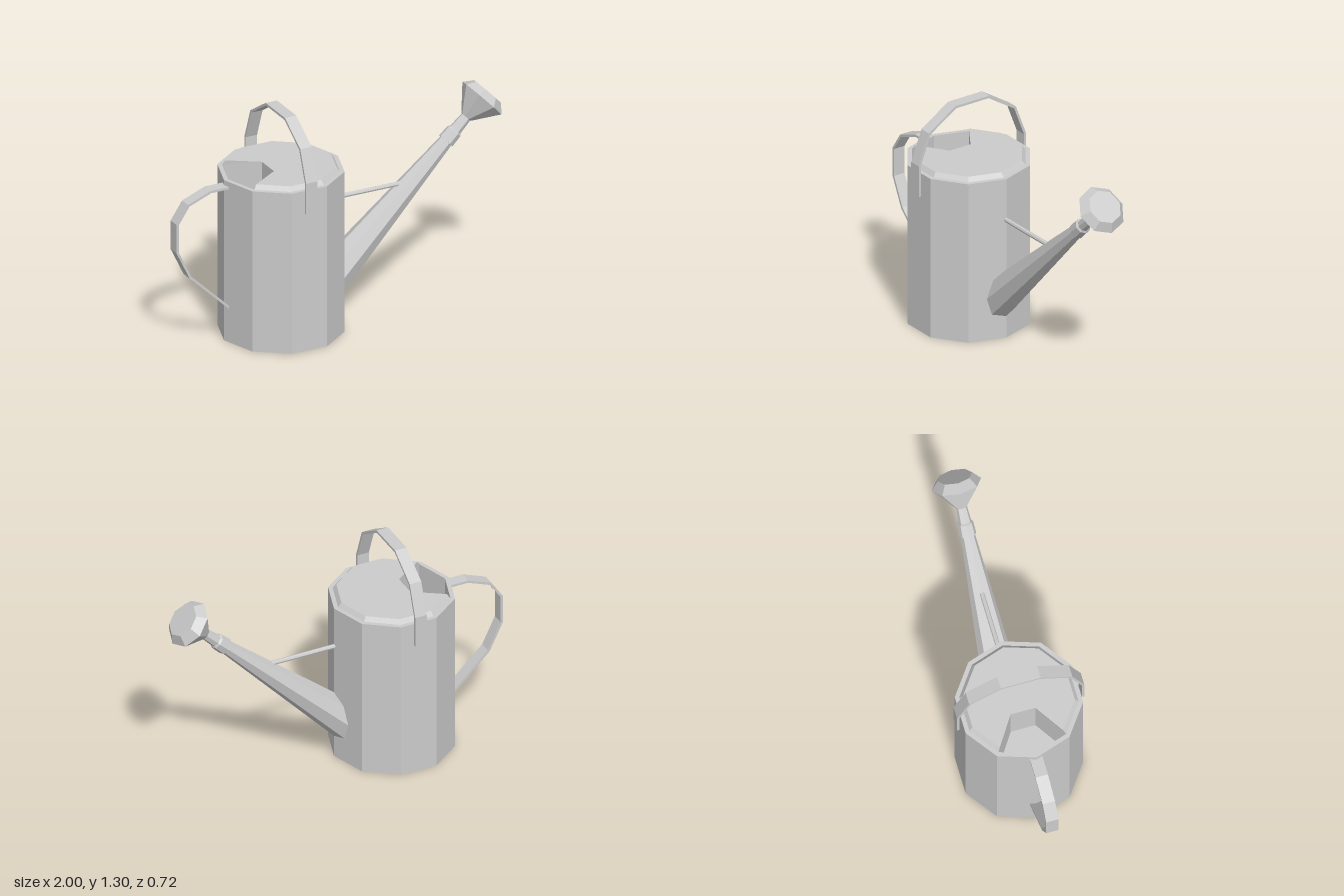
import * as THREE from 'three';

const CX = -0.34;      // centre of the can
const TOP = 0.955;     // height of the can wall
const POCKET = 0.25;   // depth of the filling opening

const material = new THREE.MeshStandardMaterial({ color: 0xcccccc, flatShading: true });

function add(parent, name, geometry) {
  const mesh = new THREE.Mesh(geometry, material);
  mesh.name = name;
  parent.add(mesh);
  return mesh;
}

// Points of the ten-sided outline, from corner a to corner b
function corners(r, a, b) {
  const pts = [];
  for (let i = a; i <= b; i++) {
    const t = (i * Math.PI) / 5;
    pts.push(new THREE.Vector2(CX + r * Math.cos(t), r * Math.sin(t)));
  }
  return pts;
}

// Horizontal face at height y, facing up
function plate(pts, y, hole) {
  const shape = new THREE.Shape(pts);
  if (hole) shape.holes.push(new THREE.Path(hole));
  return new THREE.ShapeGeometry(shape).rotateX(-Math.PI / 2).translate(0, y, 0);
}

// Closed wall between a lower and an upper outline
function wall(low, y0, high, y1) {
  const v = [];
  for (let i = 0; i < low.length; i++) {
    const j = (i + 1) % low.length;
    const a = [low[i].x, y0, -low[i].y], b = [low[j].x, y0, -low[j].y];
    const c = [high[j].x, y1, -high[j].y], d = [high[i].x, y1, -high[i].y];
    v.push(...a, ...b, ...c, ...a, ...c, ...d);
  }
  const g = new THREE.BufferGeometry();
  g.setAttribute('position', new THREE.Float32BufferAttribute(v, 3));
  g.computeVertexNormals();
  return g;
}

// Flat strip bent along an outer path, thickened to the right of travel
function strip(path, thickness, width) {
  const pts = path.map(([x, y]) => new THREE.Vector2(x, y));
  const side = (a, b) => {
    const d = b.clone().sub(a).normalize();
    return new THREE.Vector2(d.y, -d.x);
  };
  const inner = pts.map((p, i) => {
    const n0 = i > 0 ? side(pts[i - 1], p) : side(p, pts[1]);
    const n1 = i < pts.length - 1 ? side(p, pts[i + 1]) : n0;
    const m = n0.clone().add(n1).normalize();
    return p.clone().addScaledVector(m, thickness / m.dot(n0));
  });
  const shape = new THREE.Shape([...pts, ...inner.reverse()]);
  return new THREE.ExtrudeGeometry(shape, { depth: width, bevelEnabled: false })
    .translate(0, 0, -width / 2);
}

export function createModel() {
  const model = new THREE.Group();
  model.name = 'wateringCan';

  // Can: wall, base and rim with the filling opening sunk into it
  const can = new THREE.Group();
  can.name = 'can';
  model.add(can);
  const outline = corners(0.35, 0, 9);
  const notch = [new THREE.Vector2(-0.42, 0.07), new THREE.Vector2(-0.42, -0.07)];
  const opening = [...corners(0.325, 4, 6), notch[1], notch[0]];
  const inward = [...opening].reverse();
  add(can, 'canWall', wall(outline, 0, outline, TOP));
  add(can, 'canBase', plate(outline, 0).rotateX(Math.PI));
  add(can, 'rim', plate(outline, TOP, opening));
  add(can, 'openingWall', wall(inward, TOP - POCKET, inward, TOP));
  add(can, 'openingFloor', plate(opening, TOP - POCKET));

  // Raised lid with sloped edge, cut away around the opening
  const lidLow = [...corners(0.325, -4, 4), ...notch];
  const lidHigh = [...corners(0.305, -4, 4), ...notch];
  add(can, 'lidEdge', wall(lidLow, TOP, lidHigh, 0.98));
  add(can, 'lidTop', plate(lidHigh, 0.98));

  // Carrying handle arching over the lid
  const half = [[-0.36, 0.825], [-0.36, 1.01], [-0.292, 1.19], [-0.113, 1.305]];
  const arch = [...half, ...half.map(([x, y]) => [-x, y]).reverse()];
  const carry = add(model, 'carryingHandle', strip(arch, 0.014, 0.07));
  carry.rotation.y = Math.PI / 2;
  carry.position.x = CX;

  // Pouring handle behind the can
  add(model, 'pouringHandle', strip([
    [-0.68, 0.2], [-0.92, 0.43], [-1, 0.595], [-1, 0.765],
    [-0.93, 0.87], [-0.79, 0.925], [-0.675, 0.925],
  ], 0.014, 0.07));

  // Spout, collar and rose turned around one slanted axis
  const spout = new THREE.Group();
  spout.name = 'spoutAssembly';
  spout.position.set(-0.07, 0.205, 0);
  spout.rotation.z = Math.atan2(0.94, 1) - Math.PI / 2;
  model.add(spout);
  const turned = (name, profile) => add(spout, name,
    new THREE.LatheGeometry(profile.map(([r, y]) => new THREE.Vector2(r, y)), 8));
  turned('spout', [[0, 0], [0.11, 0], [0.038, 1.04]]);
  turned('collar', [[0, 1.02], [0.048, 1.02], [0.045, 1.09], [0.036, 1.1], [0.03, 1.2]]);
  turned('rose', [[0, 1.19], [0.033, 1.19], [0.14, 1.325], [0.098, 1.372], [0, 1.372]]);

  // Brace between can and spout
  const brace = add(model, 'brace', new THREE.CylinderGeometry(0.013, 0.013, 0.46, 8));
  brace.rotation.z = Math.PI / 2;
  brace.position.set(0.21, 0.71, 0);

  return model;
}
